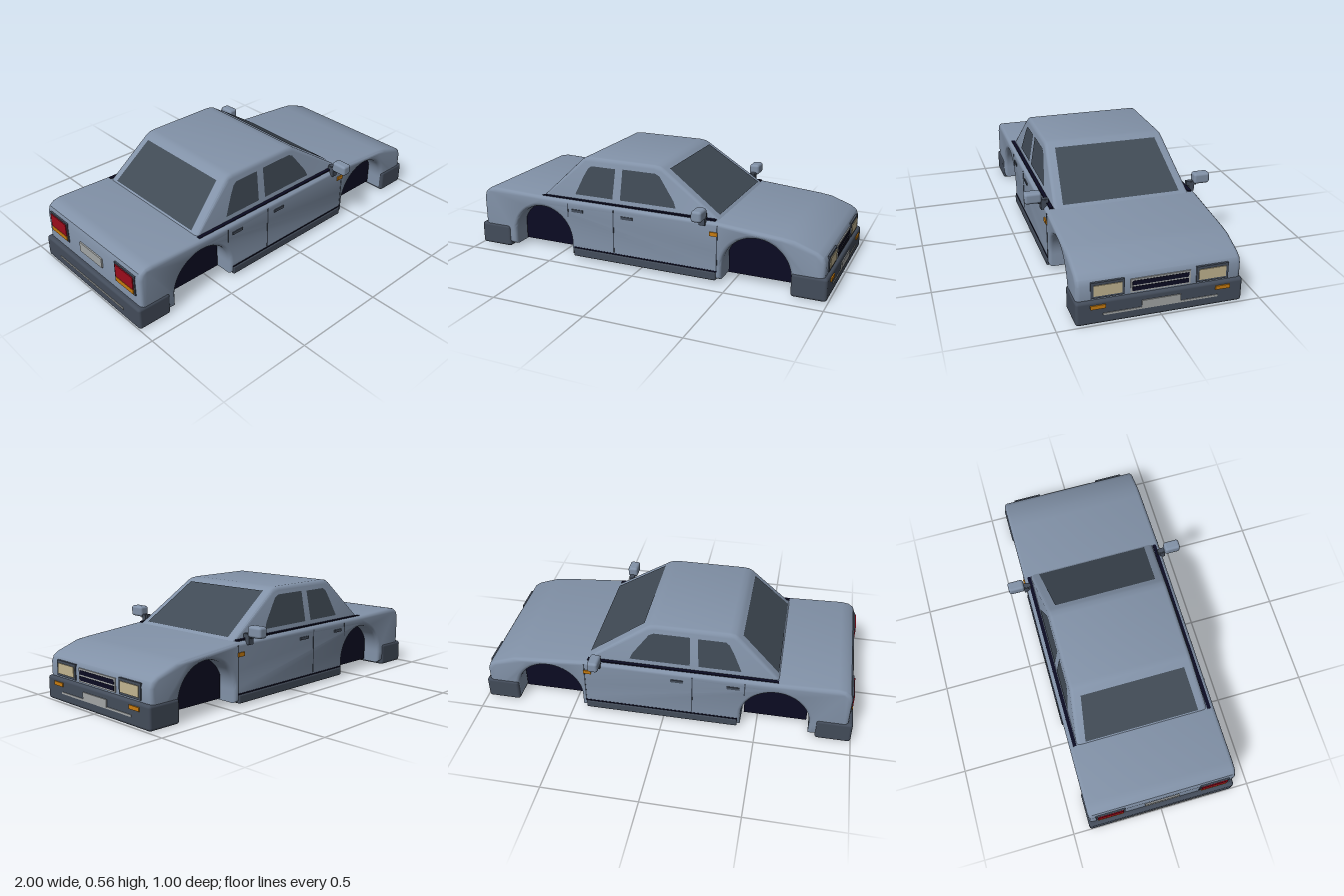
import * as THREE from 'three';
import { toCreasedNormals } from 'three/addons/utils/BufferGeometryUtils.js';
import { RoundedBoxGeometry } from 'three/addons/geometries/RoundedBoxGeometry.js';

function material(name, color, extra = {}) {
  const m = new THREE.MeshStandardMaterial({ color, ...extra });
  m.name = name;
  return m;
}

export function createModel() {
  const car = new THREE.Group();
  car.name = 'car';
  const paint = material('bluePaint', 0x8292a8);
  const trim = material('darkTrim', 0x434c5a);
  const glass = material('tintedGlass', 0x404a55, { side: THREE.DoubleSide });
  const black = material('deepNavy', 0x0b0b22);
  const silver = material('silver', 0xa3a6a6);
  const lamp = material('lampCream', 0xc2b591);
  const amber = material('amber', 0xc87c10);
  const red = material('tailRed', 0x9c0c1c);

  const add = (name, geometry, mat) => {
    const mesh = new THREE.Mesh(geometry, mat);
    mesh.name = name;
    car.add(mesh);
    return mesh;
  };
  // Box given by its limits, with optional rounded edges
  const box = (name, mat, [x0, x1], [y0, y1], [z0, z1], r = 0) => {
    const s = [x1 - x0, y1 - y0, z1 - z0];
    const g = r ? new RoundedBoxGeometry(...s, 2, r) : new THREE.BoxGeometry(...s);
    return add(name, g.translate((x0 + x1) / 2, (y0 + y1) / 2, (z0 + z1) / 2), mat);
  };
  // The same box on both sides of the car
  const pair = (name, mat, x, y, [z0, z1], r) => {
    box(name + 'Left', mat, x, y, [z0, z1], r);
    box(name + 'Right', mat, x, y, [-z1, -z0], r);
  };
  // Side profile extruded across the car with softened edges
  const extrude = (shape, half, bevel) => new THREE.ExtrudeGeometry(shape, {
    depth: 2 * (half - bevel), bevelThickness: bevel, bevelSize: bevel,
    bevelOffset: -bevel, bevelSegments: 3, curveSegments: 20,
  }).translate(0, 0, bevel - half);

  // Lower body with open wheel arches
  const wheels = [-0.595, 0.63];
  const body = new THREE.Shape();
  body.moveTo(-0.975, 0.03);
  for (const x of wheels) {
    body.lineTo(x - 0.18, 0.018);
    body.absarc(x, 0.085, 0.18, Math.PI, 0, true);
    body.lineTo(x + 0.18, 0.018);
  }
  for (const p of [[0.97, 0.03], [0.976, 0.13], [0.976, 0.195], [0.965, 0.222], [0.935, 0.243],
    [0.82, 0.284], [0.76, 0.292], [0.42, 0.321], [-0.6, 0.325], [-0.9, 0.335], [-0.94, 0.328],
    [-0.967, 0.308], [-0.978, 0.275]]) body.lineTo(...p);
  add('lowerBody', toCreasedNormals(extrude(body, 0.402, 0.02), 0.6), paint);

  // Wheel wells
  for (const x of wheels) box('wheelWell', black, [x - 0.168, x + 0.168], [0.03, 0.25], [-0.31, 0.31]);

  // Cabin, narrowing towards the roof
  const halfWidth = y => 0.36 - (y - 0.325) * 0.16;
  const cabinShape = new THREE.Shape([[-0.625, 0.3], [0.45, 0.3], [0.1, 0.54], [0.08, 0.549],
    [0.05, 0.553], [-0.33, 0.555], [-0.36, 0.55], [-0.38, 0.537]].map(p => new THREE.Vector2(...p)));
  const cabin = extrude(cabinShape, 0.36, 0.02);
  const cp = cabin.attributes.position;
  for (let i = 0; i < cp.count; i++) cp.setZ(i, cp.getZ(i) * halfWidth(cp.getY(i)) / 0.36);
  add('cabin', toCreasedNormals(cabin, 0.6), paint);
  pair('beltGap', black, [-0.6, 0.41], [0.318, 0.328], [0.363, 0.382]);

  // Windscreen and rear window
  const slopedPane = (name, x0, y0, w0, x1, y1, w1) => {
    const g = new THREE.BufferGeometry();
    g.setAttribute('position', new THREE.Float32BufferAttribute(
      [x0, y0, w0, x0, y0, -w0, x1, y1, -w1, x1, y1, w1], 3));
    g.setIndex(x0 > 0 ? [0, 1, 2, 0, 2, 3] : [0, 2, 1, 0, 3, 2]);
    g.computeVertexNormals();
    add(name, g, glass);
  };
  slopedPane('windscreen', 0.408, 0.334, 0.312, 0.118, 0.533, 0.278);
  slopedPane('rearWindow', -0.594, 0.335, 0.312, -0.397, 0.526, 0.278);

  // Side windows follow the lean of the cabin
  const panes = {
    rearSideWindow: [[-0.405, 0.35], [-0.18, 0.35], [-0.172, 0.51], [-0.315, 0.51], [-0.335, 0.495], [-0.36, 0.45]],
    frontSideWindow: [[-0.135, 0.35], [0.185, 0.35], [0.17, 0.385], [0.085, 0.5], [0.06, 0.513], [-0.13, 0.513]],
  };
  for (const [name, pts] of Object.entries(panes)) {
    for (const side of [1, -1]) {
      const g = new THREE.ShapeGeometry(new THREE.Shape(pts.map(p => new THREE.Vector2(p[0], p[1]))));
      const p = g.attributes.position;
      for (let i = 0; i < p.count; i++) p.setZ(i, side * (halfWidth(p.getY(i)) + 0.003));
      if (side < 0) g.setIndex([...g.index.array].reverse());
      g.computeVertexNormals();
      add(name + (side > 0 ? 'Left' : 'Right'), g, glass);
    }
  }

  // Bumpers and sills
  box('frontBumper', trim, [0.812, 0.992], [0, 0.122], [-0.408, 0.408], 0.015);
  box('rearBumper', trim, [-1, -0.812], [0, 0.122], [-0.408, 0.408], 0.015);
  pair('sill', trim, [-0.4, 0.425], [0.012, 0.058], [0.37, 0.409], 0.008);
  pair('sillGap', black, [-0.4, 0.43], [0.057, 0.064], [0.395, 0.404]);

  // Door seams and handles
  for (const [x, y0] of [[-0.43, 0.23], [-0.155, 0.07], [0.427, 0.065]])
    pair('doorSeam', trim, [x - 0.003, x + 0.003], [y0, 0.306], [0.396, 0.4035]);
  for (const x of [-0.37, -0.075]) pair('doorHandle', trim, [x - 0.034, x + 0.034], [0.264, 0.279], [0.398, 0.407]);
  pair('sideMarker', amber, [0.388, 0.43], [0.25, 0.271], [0.4, 0.409]);

  // Front lamps and grille
  pair('headlampSurround', trim, [0.965, 0.981], [0.13, 0.21], [0.175, 0.335]);
  pair('headlamp', lamp, [0.977, 0.985], [0.142, 0.196], [0.187, 0.322]);
  box('grilleFrame', silver, [0.965, 0.98], [0.13, 0.199], [-0.146, 0.146]);
  for (const y of [0.138, 0.168])
    box('grilleOpening', black, [0.975, 0.982], [y, y + 0.022], [-0.137, 0.137]);
  pair('frontIndicator', amber, [0.988, 0.998], [0.083, 0.102], [0.268, 0.34]);
  box('frontPlate', silver, [0.99, 0.997], [0.053, 0.09], [-0.095, 0.095]);
  box('frontBumperStrip', silver, [0.988, 0.995], [0.045, 0.055], [-0.28, 0.28]);

  // Rear lamps and plate
  pair('tailLampSurround', trim, [-0.982, -0.965], [0.175, 0.288], [0.205, 0.365]);
  pair('tailLamp', red, [-0.987, -0.98], [0.21, 0.28], [0.215, 0.355]);
  pair('rearIndicator', amber, [-0.987, -0.98], [0.182, 0.207], [0.215, 0.355]);
  box('rearPlate', silver, [-0.985, -0.975], [0.185, 0.24], [-0.095, 0.095]);
  box('rearBumperStrip', silver, [-1.003, -0.996], [0.05, 0.06], [-0.28, 0.28]);

  // Door mirrors
  pair('mirrorFoot', trim, [0.334, 0.366], [0.302, 0.355], [0.388, 0.416]);
  pair('mirrorArm', trim, [0.338, 0.362], [0.335, 0.357], [0.375, 0.43]);
  pair('mirrorHousing', paint, [0.322, 0.378], [0.342, 0.4], [0.412, 0.5], 0.014);

  return car;
}
